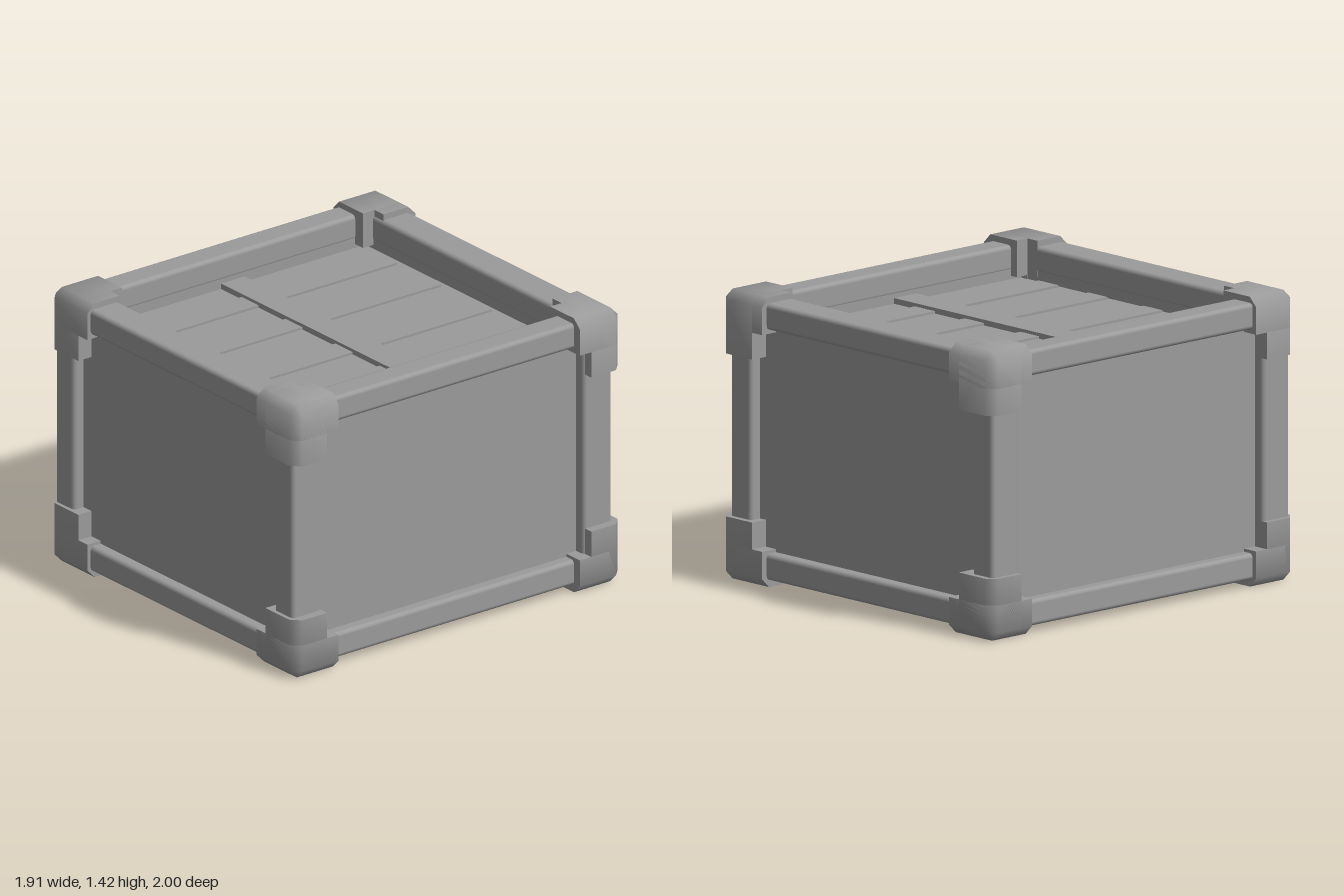
import * as THREE from 'three';
import { RoundedBoxGeometry } from 'three/addons/geometries/RoundedBoxGeometry.js';
import { ConvexGeometry } from 'three/addons/geometries/ConvexGeometry.js';
import { toCreasedNormals } from 'three/addons/utils/BufferGeometryUtils.js';

const material = new THREE.MeshStandardMaterial({ color: 0x9b9b9b });

// Limits of the frame and size of its bars along x, y and z
const LOW = [-0.93, 0.035, -0.97];
const HIGH = [0.91, 1.395, 0.98];
const BAR = [0.145, 0.13, 0.175];
const RECESS = 0.06;

export function createModel() {
  const crate = new THREE.Group();
  crate.name = 'crate';

  const add = (parent, name, geometry) => {
    const mesh = new THREE.Mesh(geometry, material);
    mesh.name = name;
    parent.add(mesh);
    return mesh;
  };
  const section = (name) => {
    const group = new THREE.Group();
    group.name = name;
    crate.add(group);
    return group;
  };
  // Box between two corners, with softened edges if a radius is given
  const span = (parent, name, a, b, radius = 0) => {
    const size = a.map((v, i) => b[i] - v);
    const geometry = radius
      ? new RoundedBoxGeometry(...size, 2, radius)
      : new THREE.BoxGeometry(...size);
    add(parent, name, geometry).position.set(...a.map((v, i) => (v + b[i]) / 2));
  };

  // Twelve frame bars, four along each axis
  const frame = section('frame');
  const barNames = ['crossRail', 'cornerPost', 'sideRail'];
  for (let axis = 0; axis < 3; axis++) {
    const [u, v] = [(axis + 1) % 3, (axis + 2) % 3];
    for (const uHigh of [false, true]) for (const vHigh of [false, true]) {
      const a = [...LOW], b = [...HIGH];
      a[axis] += 0.02;
      b[axis] -= 0.02;
      for (const [i, high] of [[u, uHigh], [v, vHigh]]) {
        if (high) a[i] = HIGH[i] - BAR[i];
        else b[i] = LOW[i] + BAR[i];
      }
      span(frame, barNames[axis], a, b, 0.022);
    }
  }

  // Recessed walls reach up behind the top rails and line the lid opening
  const panels = section('panels');
  const [x0, x1] = [LOW[0] + RECESS, HIGH[0] - RECESS];
  const [z0, z1] = [LOW[2] + RECESS, HIGH[2] - RECESS];
  const [floorY, lidY, wallTop] = [0.06, 1.225, 1.31];
  const [sideThick, endThick] = [0.083, 0.112];
  span(panels, 'rightPanel', [x0, 0.1, z0], [x0 + sideThick, wallTop, z1]);
  span(panels, 'leftPanel', [x1 - sideThick, 0.1, z0], [x1, wallTop, z1]);
  span(panels, 'backPanel', [x0, 0.1, z0], [x1, wallTop, z0 + endThick]);
  span(panels, 'frontPanel', [x0, 0.1, z1 - endThick], [x1, wallTop, z1]);
  span(panels, 'floorPanel', [x0, floorY, z0], [x1, 0.1, z1]);
  span(panels, 'lidPanel', [x0 + 0.01, lidY - 0.04, z0 + 0.01], [x1 - 0.01, lidY, z1 - 0.01]);

  // Lid boards: wide planks with narrower raised battens between them
  const lid = section('lid');
  const seams = [-0.77, -0.61, -0.48, -0.27, -0.14, 0.115, 0.25, 0.46, 0.6, 0.745];
  for (let i = 0; i < seams.length - 1; i++) {
    const raised = i % 2 === 1;
    span(lid, raised ? 'batten' : 'plank',
      [seams[i], 1.2, -0.75], [seams[i + 1], raised ? 1.247 : 1.235, 0.76]);
  }
  span(lid, 'crossbar', [-0.77, 1.2, -0.05], [0.745, 1.263, 0.095]);

  // Corner caps: three chamfered arms running along the bars
  const OUTER = [0.955, 0.7125, 1];
  const CHAMFER = 0.045;
  const arms = [
    [0.3, 0.18, 0.195],
    [0.23, 0.312, 0.195],
    [0.23, 0.18, 0.265],
  ];
  const armGeometry = (size, sign) => {
    const points = [];
    for (let corner = 0; corner < 8; corner++) {
      const far = [0, 1, 2].map((i) => (corner >> i) & 1);
      const outer = [0, 1, 2].filter((i) => !far[i]);
      // Each outward corner is cut back along its other outer axes
      for (const keep of outer.length ? outer : [-1]) {
        const p = [0, 1, 2].map((i) => {
          const inset = far[i] ? size[i] : (i === keep ? 0 : CHAMFER);
          return sign[i] * (OUTER[i] - inset);
        });
        points.push(new THREE.Vector3(p[0], p[1] + OUTER[1], p[2]));
      }
    }
    return toCreasedNormals(new ConvexGeometry(points), 1.05);
  };
  for (const x of [-1, 1]) for (const y of [-1, 1]) for (const z of [-1, 1]) {
    const cap = section('cornerCap');
    arms.forEach((size) => add(cap, 'capArm', armGeometry(size, [x, y, z])));
  }

  return crate;
}
